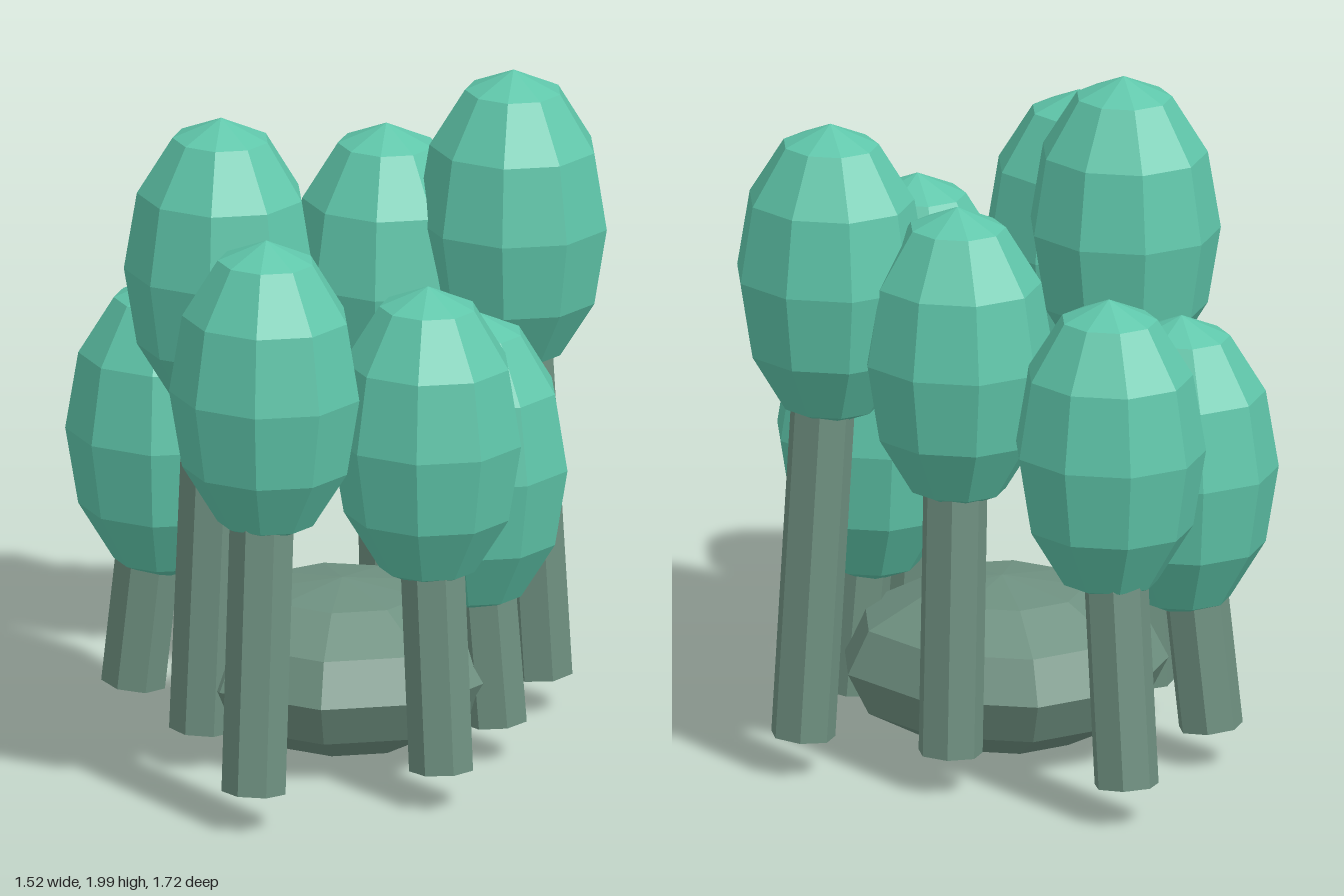
import * as THREE from 'three';

const capMaterial = new THREE.MeshStandardMaterial({ color: 0x5fc6aa });
capMaterial.name = 'teal green';
const stalkMaterial = new THREE.MeshStandardMaterial({ color: 0x6e9080 });
stalkMaterial.name = 'grey green';
capMaterial.flatShading = stalkMaterial.flatShading = true;

// Nine-sided low-poly ball with one corner column facing +x
const ball = (rx, ry, rz) =>
  new THREE.SphereGeometry(1, 9, 6).rotateY(Math.PI).scale(rx, ry, rz);

function addMesh(parent, name, geometry, material) {
  const mesh = new THREE.Mesh(geometry, material);
  mesh.name = name;
  parent.add(mesh);
  return mesh;
}

export function createModel() {
  const model = new THREE.Group();
  model.name = 'podCluster';

  // Squat boulder that the stalks lean towards
  const centre = new THREE.Vector3(0.07, 0.265, -0.1);
  addMesh(model, 'boulder', ball(0.49, 0.255, 0.46), stalkMaterial).position.copy(centre);

  // Pods: x, z and top height
  const pods = [
    [0.07, 0.605, 1.79], [0.07, -0.51, 1.79],
    [-0.21, 0.18, 2.0], [0.465, -0.5, 2.0],
    [0.465, 0.295, 1.59], [-0.43, -0.605, 1.59],
    [-0.485, -0.105, 1.385], [0.475, -0.105, 1.385],
  ];
  const halfHeight = 0.465;
  const podGeometry = ball(0.287, halfHeight, 0.26);
  const up = new THREE.Vector3(0, 1, 0);

  for (const [x, z, top] of pods) {
    const group = new THREE.Group();
    group.name = 'stalkedPod';
    model.add(group);

    const podCentre = new THREE.Vector3(x, top - halfHeight, z);
    addMesh(group, 'pod', podGeometry, capMaterial).position.copy(podCentre);

    // Leaning stalk, its foot set further out from the middle
    const foot = new THREE.Vector3(
      x + 0.16 * (x - centre.x), 0.125, z + 0.16 * (z - centre.z));
    const axis = podCentre.clone().sub(foot);
    const length = axis.length();
    const geometry = new THREE.CylinderGeometry(1, 1, length, 7)
      .rotateY(Math.PI / 2).scale(0.097, 1, 0.09);
    const stalk = addMesh(group, 'stalk', geometry, stalkMaterial);
    stalk.position.copy(foot).addScaledVector(axis, 0.5);
    stalk.quaternion.setFromUnitVectors(up, axis.normalize());
  }
  return model;
}
